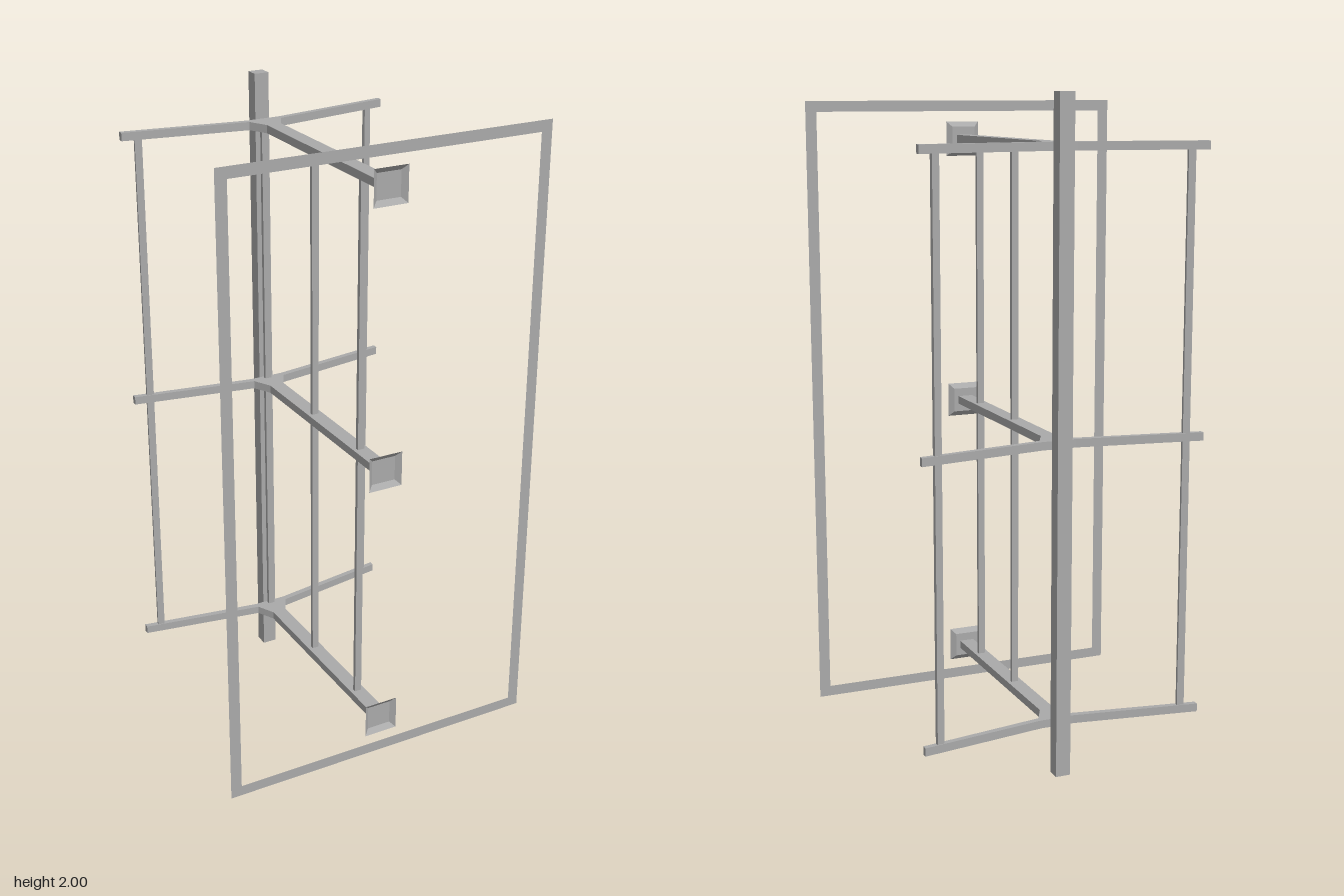
import * as THREE from 'three';

export function createModel() {
  const group = new THREE.Group();
  const steel = new THREE.MeshStandardMaterial({ color: 0xaaaaaa });
  steel.name = 'greySteel';
  steel.side = THREE.DoubleSide;

  const add = (name, geometry, x = 0, y = 0, z = 0) => {
    const mesh = new THREE.Mesh(geometry, steel);
    mesh.name = name;
    mesh.position.set(x, y, z);
    group.add(mesh);
    return mesh;
  };

  // Upright post at the back
  add('post', new THREE.BoxGeometry(0.046, 2, 0.042), 0, 1, -0.374);

  // Y-shaped bracket in plan: long strut, flared gusset and two swept arms
  const half = [[0.0235, -0.397], [0.0235, 0.275], [0.053, 0.332], [0.44, 0.396], [0.44, 0.413], [0.053, 0.352]];
  const outline = [...half, ...half.map(([x, y]) => [-x, y]).reverse()];
  const bracketShape = new THREE.Shape(outline.map(([x, y]) => new THREE.Vector2(x, y)));
  const bracketGeometry = new THREE.ExtrudeGeometry(bracketShape, { depth: 0.025, bevelEnabled: false });
  bracketGeometry.rotateX(-Math.PI / 2);
  bracketGeometry.translate(0, -0.0125, 0);

  // Shallow dished foot, open to the front
  const footSides = new THREE.CylinderGeometry(0.054 * Math.SQRT2, 0.038 * Math.SQRT2, 0.013, 4, 1, true)
    .rotateY(Math.PI / 4).rotateX(Math.PI / 2).toNonIndexed();
  footSides.computeVertexNormals();
  const footBase = new THREE.PlaneGeometry(0.076, 0.076);

  for (const y of [0.155, 1.0025, 1.85]) {
    add('bracket', bracketGeometry, 0, y, 0);
    add('footRim', footSides, 0, y, 0.4035);
    add('footBase', footBase, 0, y, 0.397);
  }

  // Vertical rods between the brackets
  const rodGeometry = new THREE.BoxGeometry(0.022, 1.672, 0.012);
  for (const z of [0.262, -0.02, -0.34]) add('strutRod', rodGeometry, 0, 1.0025, z);
  for (const side of [-1, 1]) {
    add('armRod', rodGeometry, side * 0.389, 1.0025, -0.396).rotation.y = side * 0.16;
  }

  // Flat rectangular frame at the front
  const rectangle = (path, w, h) => path
    .moveTo(-w, -h).lineTo(w, -h).lineTo(w, h).lineTo(-w, h).closePath();
  const frameShape = rectangle(new THREE.Shape(), 0.515, 0.967);
  frameShape.holes.push(rectangle(new THREE.Path(), 0.48, 0.934));
  add('frontFrame', new THREE.ShapeGeometry(frameShape), 0, 1.0025, 0.41);

  return group;
}
